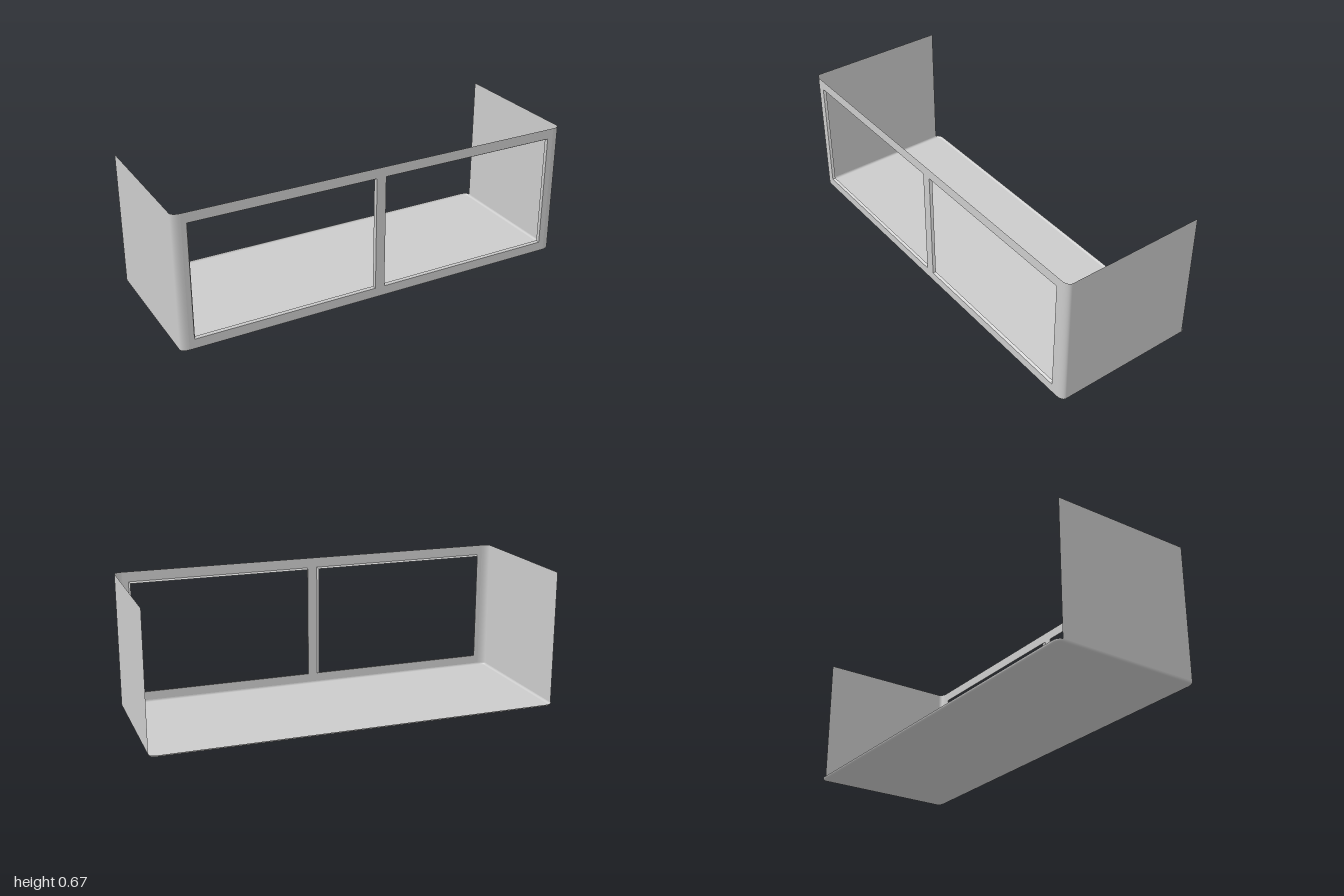
import * as THREE from 'three';

const X = 1, Z = 0.37, TOP = 0.668, BACK = -0.345;
const RX = 0.04, RZ = 0.025, LIP = 0.01, STEPS = 6;
const material = new THREE.MeshStandardMaterial({ color: 0xcccccc, side: THREE.DoubleSide });

// Skin a sheet between successive rows of points
function loft(rows, closed) {
  const n = rows[0].length, index = [];
  for (let r = 0; r < rows.length - 1; r++) {
    for (let i = 0; i < (closed ? n : n - 1); i++) {
      const a = r * n + i, b = r * n + (i + 1) % n;
      index.push(a, b, a + n, b, b + n, a + n);
    }
  }
  const g = new THREE.BufferGeometry();
  g.setAttribute('position', new THREE.Float32BufferAttribute(rows.flat(2), 3));
  g.setIndex(index);
  g.computeVertexNormals();
  return g;
}

// Rounded footprint, inset and seen from above, counter-clockwise from below
function footprint(inset) {
  const points = [];
  const corners = [[1, 1], [-1, 1], [-1, -1], [1, -1]];
  corners.forEach(([sx, sz], c) => {
    for (let i = 0; i <= STEPS; i++) {
      const a = (c + i / STEPS) * Math.PI / 2;
      points.push([
        sx * (X - RX) + Math.cos(a) * (RX - inset),
        sz * (Z - RZ) + Math.sin(a) * (RZ - inset),
      ]);
    }
  });
  return points;
}

export function createModel() {
  const group = new THREE.Group();
  const add = (name, geometry) => {
    const mesh = new THREE.Mesh(geometry, material);
    mesh.name = name;
    group.add(mesh);
    return mesh;
  };

  // Flat floor
  const floorShape = new THREE.Shape(footprint(LIP).map(([x, z]) => new THREE.Vector2(x, z)));
  add('floor', new THREE.ShapeGeometry(floorShape).rotateX(Math.PI / 2));

  // Rolled edge running all round the floor
  const lipRows = [];
  for (let i = 0; i <= 4; i++) {
    const a = i / 4 * Math.PI / 2;
    const y = LIP * (1 - Math.cos(a));
    lipRows.push(footprint(LIP * (1 - Math.sin(a))).map(([x, z]) => [x, y, z]));
  }
  add('floorEdge', loft(lipRows.reverse(), true));

  // Side walls, each curving round into the front
  for (const s of [1, -1]) {
    const path = [[s * X, BACK]];
    for (let i = 0; i <= STEPS; i++) {
      const a = i / STEPS * Math.PI / 2;
      path.push([s * (X - RX + RX * Math.cos(a)), Z - RZ + RZ * Math.sin(a)]);
    }
    if (s < 0) path.reverse();
    const rows = [TOP, LIP].map(y => path.map(([x, z]) => [x, y, z]));
    add(s > 0 ? 'leftWall' : 'rightWall', loft(rows.reverse().map(r => r.slice().reverse()), false));
  }

  // Front panel with two window openings
  const rect = (x0, x1, y0, y1) => [[x0, y0], [x1, y0], [x1, y1], [x0, y1]];
  const toVectors = pts => pts.map(p => new THREE.Vector2(...p));
  const front = new THREE.Shape(toVectors(rect(-X + RX, X - RX, LIP, TOP)));
  const windows = [[-0.935, -0.026], [0.022, 0.931]];
  const y0 = 0.053, y1 = 0.618, inset = 0.007;
  for (const [a, b] of windows) {
    front.holes.push(new THREE.Path(toVectors(rect(a, b, y0, y1))));
  }
  add('frontFrame', new THREE.ShapeGeometry(front).translate(0, 0, Z));

  // Narrow sloping reveal inside each opening, one flat strip per edge
  windows.forEach(([a, b], w) => {
    const outer = rect(a, b, y0, y1).map(p => [...p, Z]);
    const inner = rect(a + inset, b - inset, y0 + inset, y1 - inset).map(p => [...p, Z - 0.012]);
    for (let i = 0; i < 4; i++) {
      const j = (i + 1) % 4;
      add((w ? 'left' : 'right') + 'WindowReveal' + (i + 1),
        loft([[outer[i], outer[j]], [inner[i], inner[j]]], false));
    }
  });

  return group;
}
